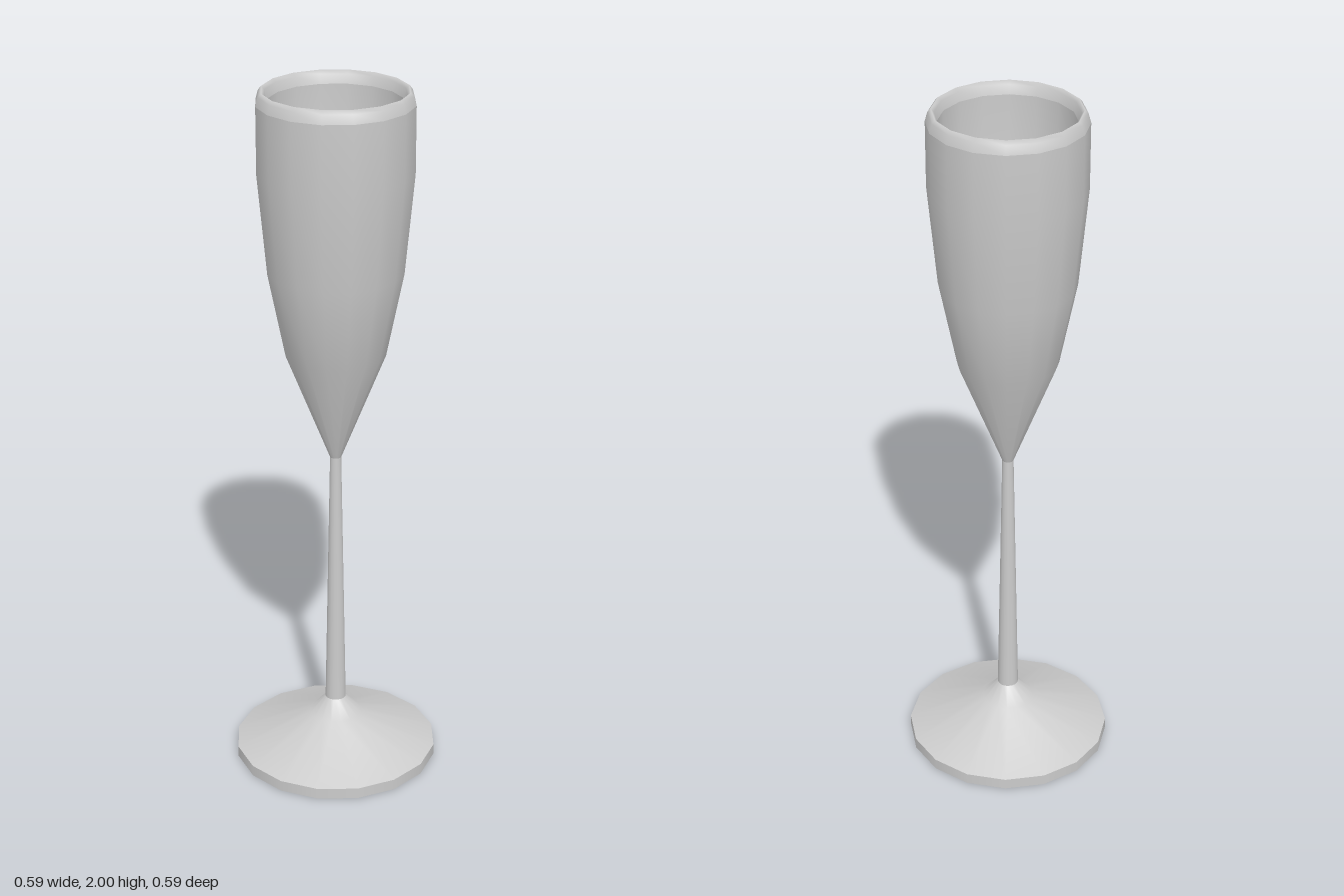
import * as THREE from 'three';

const SIDES = 16;

export function createModel() {
  const group = new THREE.Group();
  const material = new THREE.MeshStandardMaterial({ color: 0xcccccc });

  // Each part is a profile of [radius, height] points turned around the y axis
  const turn = (name, profile) => {
    const points = profile.map(([r, y]) => new THREE.Vector2(r, y));
    const mesh = new THREE.Mesh(new THREE.LatheGeometry(points, SIDES), material);
    mesh.name = name;
    group.add(mesh);
  };

  // Foot: flat underside, thin edge and sloping top
  turn('footUnderside', [[0, 0], [0.293, 0]]);
  turn('footEdge', [[0.293, 0], [0.293, 0.032]]);
  turn('footTop', [[0.293, 0.032], [0.075, 0.122], [0.03, 0.172]]);

  // Slender tapering stem
  turn('stem', [[0.03, 0.172], [0.016, 0.945]]);

  // Bowl: outer wall, rounded rim and hollow inside
  turn('bowlOuter', [
    [0.016, 0.945], [0.14, 1.26], [0.188, 1.5], [0.214, 1.78], [0.214, 1.965],
  ]);
  turn('bowlRim', [[0.214, 1.965], [0.207, 1.99], [0.198, 2], [0.19, 1.99], [0.183, 1.965]]);
  turn('bowlInner', [
    [0.183, 1.965], [0.183, 1.78], [0.158, 1.51], [0.112, 1.28], [0, 0.99],
  ]);

  return group;
}
